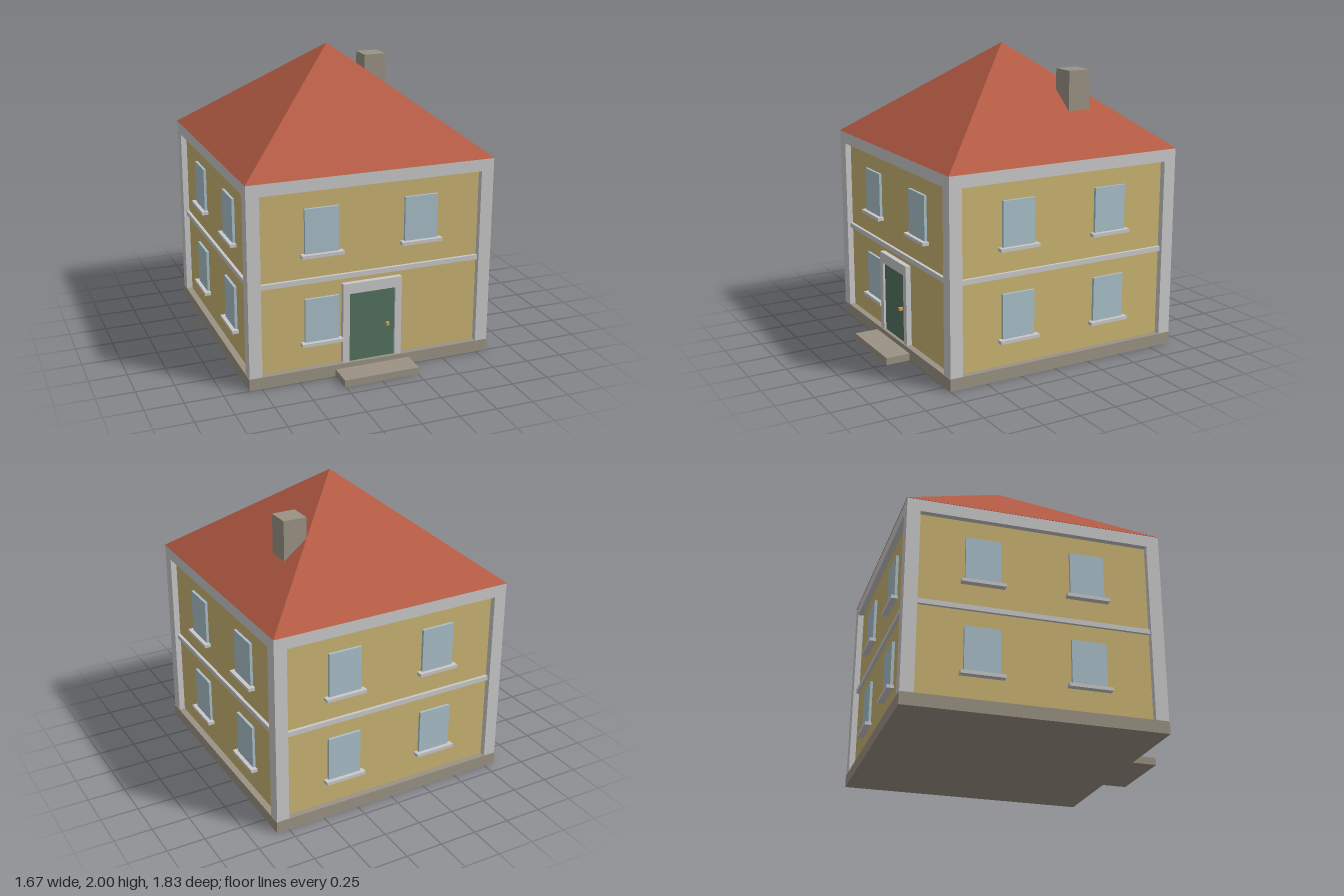
import * as THREE from 'three';

const paint = (name, color) => {
  const m = new THREE.MeshStandardMaterial({ color });
  m.name = name;
  return m;
};

export function createModel() {
  const wallPaint = paint('ochre wall', 0xc9b472);
  const trimPaint = paint('pale grey trim', 0xc9c9c9);
  const stone = paint('stone', 0x9a9284);
  const tile = paint('roof tile', 0xb45b44);
  const glass = paint('window glass', 0xa9bfc9);
  const green = paint('door green', 0x547361);
  const brass = paint('brass', 0xd0a24a);
  tile.flatShading = true;

  // Box given by its lower and upper corners
  const box = (parent, name, mat, [x0, y0, z0], [x1, y1, z1]) => {
    const mesh = new THREE.Mesh(new THREE.BoxGeometry(x1 - x0, y1 - y0, z1 - z0), mat);
    mesh.position.set((x0 + x1) / 2, (y0 + y1) / 2, (z0 + z1) / 2);
    mesh.name = name;
    parent.add(mesh);
    return mesh;
  };

  const model = new THREE.Group();
  model.name = 'house';
  const house = new THREE.Group();
  house.name = 'houseBody';
  house.position.z = -0.082;
  model.add(house);

  const base = 0.833, frame = 0.83, wall = 0.79, post = 0.745;
  const floorY = 0.08, eaveY = 1.345, beamY = 1.265;

  // Plinth, wall block and corner posts
  box(house, 'plinth', stone, [-base, 0, -base], [base, floorY, base]);
  box(house, 'walls', wallPaint, [-wall, floorY, -wall], [wall, eaveY, wall]);
  for (const sx of [-1, 1]) for (const sz of [-1, 1]) {
    const c = (post + frame) / 2, h = (frame - post) / 2;
    box(house, 'cornerPost', trimPaint,
      [sx * c - h, floorY, sz * c - h], [sx * c + h, eaveY, sz * c + h]);
  }

  // One window with its sill, on a facade facing +z
  const addWindow = (parent, x, y) => {
    box(parent, 'windowPane', glass, [x - 0.113, y, wall - 0.01], [x + 0.113, y + 0.295, wall + 0.018]);
    box(parent, 'windowSill', trimPaint, [x - 0.14, y - 0.02, wall - 0.01], [x + 0.14, y + 0.002, wall + 0.044]);
  };

  // Four facades: front, left, back, right
  ['front', 'left', 'back', 'right'].forEach((side, i) => {
    const facade = new THREE.Group();
    facade.name = side + 'Facade';
    facade.rotation.y = i * Math.PI / 2;
    house.add(facade);
    box(facade, 'eaveBeam', trimPaint, [-post, beamY, wall - 0.01], [post, eaveY, frame]);
    box(facade, 'floorBand', trimPaint, [-post, 0.656, wall - 0.01], [post, 0.688, wall + 0.02]);
    for (const x of [-0.337, 0.337]) for (const y of [0.255, 0.85]) {
      if (side === 'front' && x > 0 && y < 0.5) continue;
      addWindow(facade, x, y);
    }
  });

  // Door with surround, knob and step
  const entrance = new THREE.Group();
  entrance.name = 'entrance';
  house.add(entrance);
  const s = new THREE.Shape();
  [[-0.202, floorY], [-0.157, floorY], [-0.157, 0.552], [0.157, 0.552],
    [0.157, floorY], [0.202, floorY], [0.202, 0.622], [-0.202, 0.622]]
    .forEach(([x, y], i) => (i ? s.lineTo(x, y) : s.moveTo(x, y)));
  const surround = new THREE.Mesh(
    new THREE.ExtrudeGeometry(s, { depth: 0.045, bevelEnabled: false }), trimPaint);
  surround.position.z = wall - 0.01;
  surround.name = 'doorSurround';
  entrance.add(surround);
  box(entrance, 'door', green, [-0.157, floorY, wall - 0.01], [0.157, 0.552, wall + 0.02]);
  box(entrance, 'doorKnob', brass, [0.096, 0.296, wall + 0.01], [0.116, 0.316, wall + 0.044]);
  box(entrance, 'doorStep', stone, [-0.256, 0, base - 0.02], [0.256, 0.048, 0.997]);

  // Pyramid roof
  const roof = new THREE.Mesh(
    new THREE.ConeGeometry(base * Math.SQRT2, 2 - eaveY, 4, 1, false, Math.PI / 4), tile);
  roof.position.y = (2 + eaveY) / 2;
  roof.name = 'roof';
  house.add(roof);

  // Chimney
  box(house, 'chimney', stone, [0.36, 1.45, -0.358], [0.515, 1.855, -0.203]);

  return model;
}
